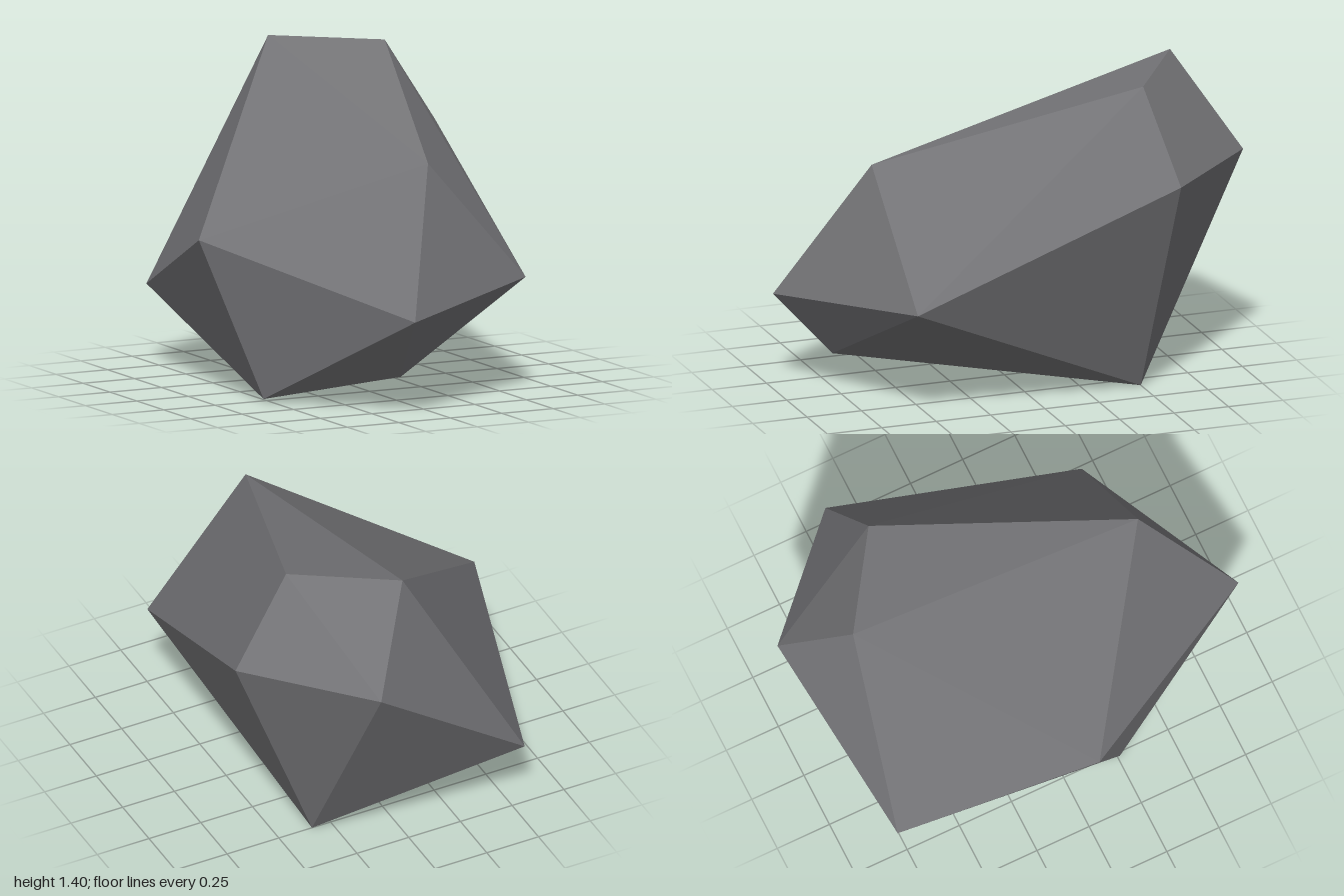
import * as THREE from 'three';

// Faceted boulder: an irregular twenty-sided solid with twelve corners.
export function createModel() {
  const group = new THREE.Group();
  group.name = 'rock';

  const stone = new THREE.MeshStandardMaterial({ color: 0x747477, flatShading: true });
  stone.name = 'stone grey';

  const corners = {
    A: [0.03, 1.4, -0.75], // top ridge
    B: [0.45, 1.39, -0.47],
    C: [0.08, 1.05, 0.64], // front shoulder
    D: [0.73, 1.01, -0.54],
    E: [0.57, 0.51, 0.61],
    F: [-0.17, 0.43, 1.0], // front tip
    G: [-0.73, 0.69, 0.06],
    H: [-0.52, 0.01, 0.26], // base
    I: [0.34, 0, -0.5],
    J: [-0.11, 0.15, 0.75],
    K: [0.26, 0.99, -1.0], // back
    L: [-0.53, 0.35, -0.81],
  };

  // Counter-clockwise facets seen from outside
  const facets =
    'BAC AGC GFC CFE CEB BED FJE FHJ GHF HIJ JIE EID DIK DKB BKA AKL ALG GLH HLI ILK';

  const positions = [...facets.replaceAll(' ', '')].flatMap((name) => corners[name]);
  const geometry = new THREE.BufferGeometry();
  geometry.setAttribute('position', new THREE.Float32BufferAttribute(positions, 3));
  geometry.computeVertexNormals();

  const boulder = new THREE.Mesh(geometry, stone);
  boulder.name = 'boulder';
  group.add(boulder);
  return group;
}
